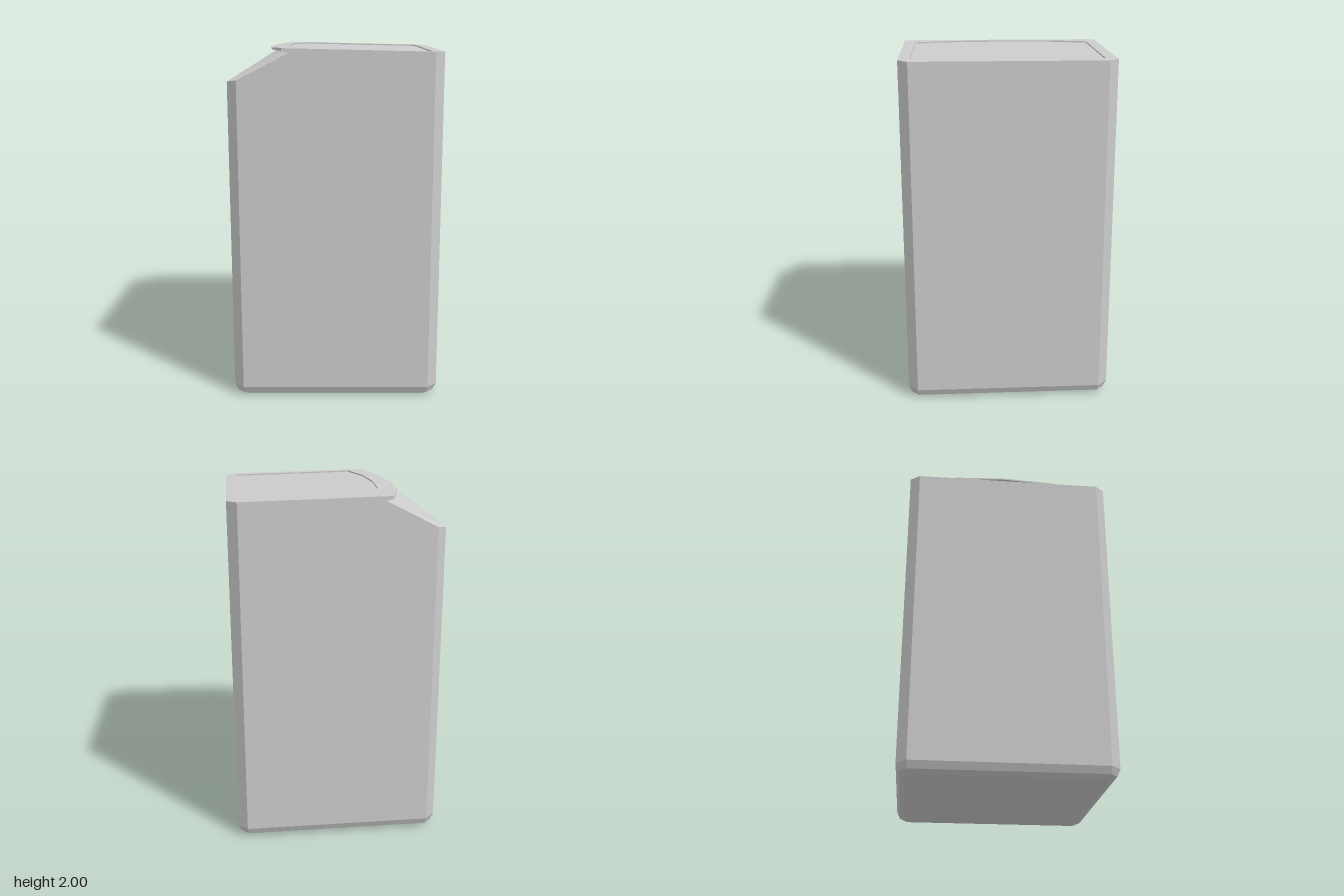
import * as THREE from 'three';

const H = 0.59, F = 0.535; // half width, half width of the flats between corner chamfers
const material = new THREE.MeshStandardMaterial({ color: 0xcccccc, flatShading: true });
const doubleSided = material.clone();
doubleSided.side = THREE.DoubleSide;

// Lid height: a gentle fall to the right, dipping a little at the lip
const lidY = (x) => (x < -0.3 ? 2 + (x + 0.3) * 0.1 : 2 - 0.02 * (x + 0.3) / 0.89);

// Slices from back to front: [z, half width in x, lip x]
const slices = [
  [-H, F, -0.29], [-F, H, -0.303], [-0.3, H, -0.36], [0, H, -0.383],
  [0.3, H, -0.36], [F, H, -0.303], [H, F, -0.29],
];

function triangleMesh(name, positions, mat = material) {
  const g = new THREE.BufferGeometry();
  g.setAttribute('position', new THREE.Float32BufferAttribute(positions, 3));
  g.computeVertexNormals();
  const mesh = new THREE.Mesh(g, mat);
  mesh.name = name;
  return mesh;
}

// Band of quads between two closed rings of points
function band(out, r0, r1, skip = []) {
  r0.forEach((a, i) => {
    if (skip.includes(i)) return;
    const j = (i + 1) % r0.length;
    out.push(...a, ...r0[j], ...r1[j], ...a, ...r1[j], ...r1[i]);
  });
}

// Side profile at one slice, with the undercut notch below the lip
function profile([z, w, lip]) {
  return [
    [-w, 0.06], [w, 0.06], [w, lidY(w)], [lip, lidY(lip)],
    [lip, 1.983], [lip + 0.04, 1.975], [-w, w < H ? 1.83 : 1.82],
  ].map(([x, y]) => [x, y, z]);
}

function buildBody() {
  const pos = [];
  const rings = slices.map(profile);
  for (let i = 0; i + 1 < rings.length; i++) band(pos, rings[i], rings[i + 1], [0, 2]);
  // Front and back walls
  const front = rings[rings.length - 1], back = rings[0];
  const outline = front.map(([x, y]) => new THREE.Vector2(x, y));
  for (const [a, b, c] of THREE.ShapeUtils.triangulateShape(outline, [])) {
    pos.push(...front[a], ...front[b], ...front[c]);
    pos.push(...back[a], ...back[c], ...back[b]);
  }
  return triangleMesh('body', pos);
}

// Rounded-over base edge and floor
function buildBase() {
  const pos = [];
  const rings = [[0.06, 0], [0.02, 0.018], [0, 0.055]].map(([y, inset]) => {
    const h = H - inset, f = F - inset * 0.3;
    return [[h, f], [f, h], [-f, h], [-h, f], [-h, -f], [-f, -h], [f, -h], [h, -f]]
      .map(([x, z]) => [x, y, z]);
  });
  band(pos, rings[0], rings[1]);
  band(pos, rings[1], rings[2]);
  const floor = rings[2];
  for (let i = 1; i < 7; i++) pos.push(...floor[0], ...floor[i], ...floor[i + 1]);
  return triangleMesh('base', pos);
}

// Flat outline in x/z laid on the lid's height, optionally lowered
function lidSurface(name, shape, drop) {
  const g = new THREE.ShapeGeometry(shape);
  g.rotateX(-Math.PI / 2);
  const p = g.attributes.position;
  for (let i = 0; i < p.count; i++) p.setY(i, lidY(p.getX(i)) - drop);
  g.computeVertexNormals();
  const mesh = new THREE.Mesh(g, material);
  mesh.name = name;
  return mesh;
}

function buildLid() {
  const lid = new THREE.Group();
  lid.name = 'lid';
  const v = (x, z) => new THREE.Vector2(x, -z);
  const outer = [
    ...slices.map(([z, , lip]) => v(lip, z)),
    v(F, H), v(H, F), v(H, -F), v(F, -H),
  ];
  const inner = [
    v(-0.197, -0.525), v(-0.255, -0.29), v(-0.272, 0), v(-0.255, 0.29), v(-0.197, 0.525),
    v(0.507, 0.525), v(0.525, 0.507), v(0.525, -0.507), v(0.507, -0.525),
  ];
  const rim = new THREE.Shape(outer);
  rim.holes.push(new THREE.Path(inner));
  const depth = 0.008;
  lid.add(lidSurface('lidRim', rim, 0));
  lid.add(lidSurface('recessedPanel', new THREE.Shape(inner), depth));
  // Step between rim and panel
  const pos = [];
  const ring = (drop) => inner.map((p) => [p.x, lidY(p.x) - drop, -p.y]);
  band(pos, ring(0), ring(depth));
  lid.add(triangleMesh('panelStep', pos, doubleSided));
  return lid;
}

export function createModel() {
  const model = new THREE.Group();
  model.name = 'canister';
  model.add(buildBody(), buildBase(), buildLid());
  return model;
}
